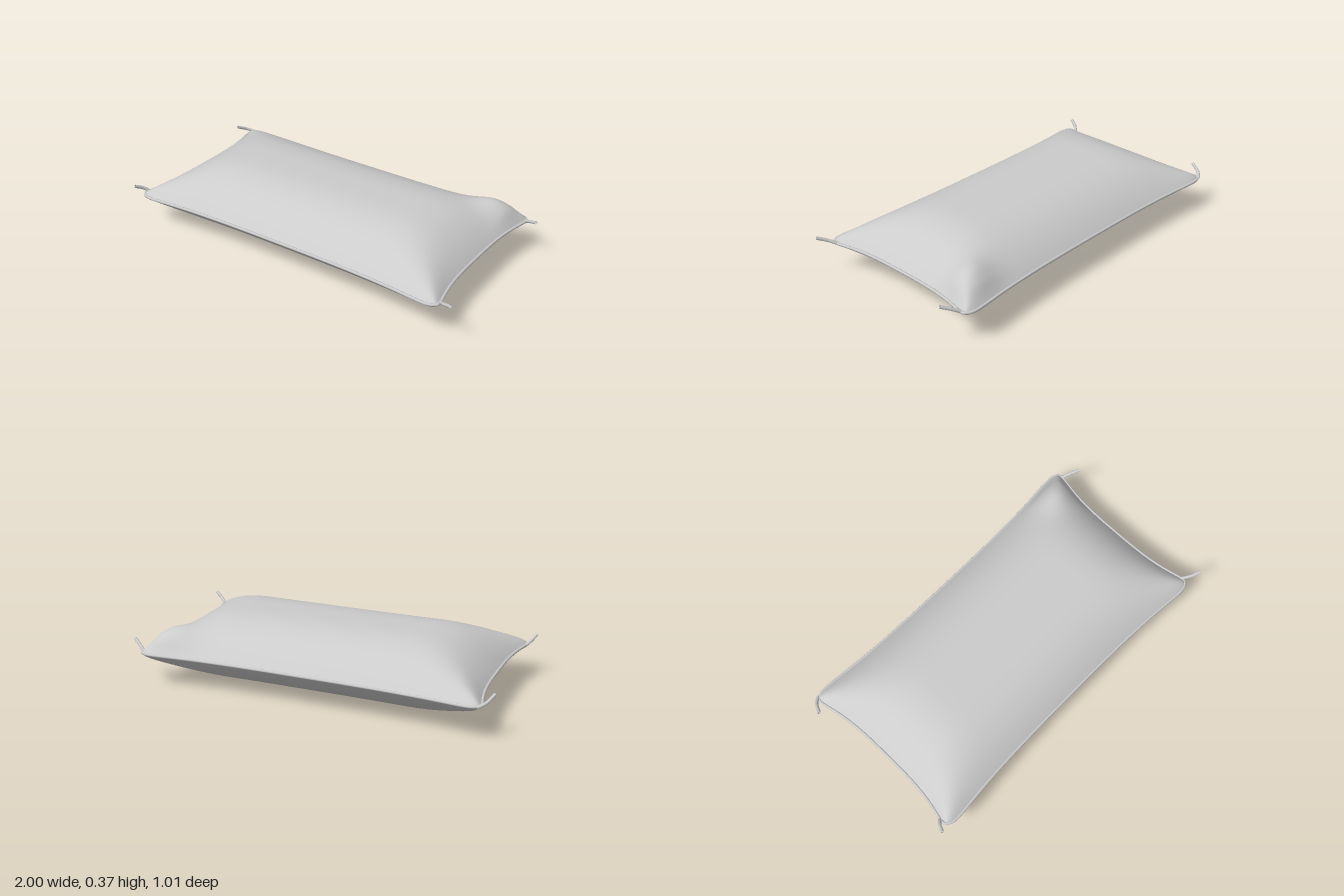
import * as THREE from 'three';

const SEAM_Y = 0.19;
const material = new THREE.MeshStandardMaterial({ color: 0xcccccc, side: THREE.DoubleSide });

// Plan outline: sides bow inwards, corners are rounded; u and v run from -1 to 1
function planPoint(u, v) {
  const a = Math.abs(u), b = Math.abs(v);
  const halfX = (u < 0 ? 0.897 : 0.87) + 0.07 * b ** 3;
  const halfZ = (v < 0 ? 0.463 : 0.457) + 0.05 * a ** 3;
  return [
    u * (halfX - 0.035 * b ** 14 * a ** 8),
    v * (halfZ - 0.035 * a ** 22 * b ** 8),
  ];
}

// Puffed cross-section, rising from the seam over a fixed distance
const rise = (d) => 1 - (1 - Math.min(d / 0.45, 1)) ** 2.8;

// Blend of both cross-sections, leaving soft ridges towards the corners
function fullness(u, v) {
  const fx = rise((1 - Math.abs(u)) * 0.9), fz = rise((1 - Math.abs(v)) * 0.46);
  if (fx < 1e-5 || fz < 1e-5) return 0;
  return 1 / Math.sqrt(fx ** -2 + fz ** -2 - 1);
}

// One face of the cushion: side is 1 for the top, -1 for the bottom
function makeFace(name, side, height) {
  const geometry = new THREE.PlaneGeometry(2, 2, 96, 64);
  geometry.rotateX(-side * Math.PI / 2);
  const pos = geometry.attributes.position;
  const spread = (t) => 0.4 * t + 0.6 * Math.sin(t * Math.PI / 2);
  for (let i = 0; i < pos.count; i++) {
    const u = spread(pos.getX(i)), v = spread(pos.getZ(i));
    const [x, z] = planPoint(u, v);
    const f = fullness(u, v);
    // One back corner is plumper on top
    const plump = side > 0 ? 0.045 * Math.exp(-(((x - 0.78) / 0.13) ** 2) - ((z + 0.38) / 0.1) ** 2) : 0;
    pos.setXYZ(i, x, SEAM_Y + side * (height * f + plump * Math.min(1, f * 4)), z);
  }
  geometry.computeVertexNormals();
  const mesh = new THREE.Mesh(geometry, material);
  mesh.name = name;
  return mesh;
}

function makeCord(name, points, radius, segments, closed) {
  const curve = new THREE.CatmullRomCurve3(points, closed);
  const mesh = new THREE.Mesh(new THREE.TubeGeometry(curve, segments, radius, 8, closed), material);
  mesh.name = name;
  return mesh;
}

export function createModel() {
  const group = new THREE.Group();
  group.name = 'cushion';
  group.add(makeFace('topFace', 1, 0.18), makeFace('bottomFace', -1, 0.188));

  // Piping around the seam
  const seam = [];
  const n = 40;
  for (let side = 0; side < 4; side++) {
    for (let i = 0; i < n; i++) {
      const t = Math.sin((-1 + (2 * i) / n) * Math.PI / 2);
      const [u, v] = [[t, 1], [1, -t], [-t, -1], [-1, t]][side];
      const [x, z] = planPoint(u, v);
      seam.push(new THREE.Vector3(x, SEAM_Y + 0.002, z));
    }
  }
  group.add(makeCord('seamPiping', seam, 0.008, 400, true));

  // Short curved cord ends at the corners
  const ties = {
    frontLeftTie: [[0.91, 0.192, 0.44], [0.95, 0.215, 0.475], [0.995, 0.236, 0.5]],
    backLeftTie: [[0.91, 0.192, -0.455], [0.95, 0.215, -0.43], [0.995, 0.236, -0.402]],
    backRightTie: [[-0.93, 0.192, -0.49], [-0.965, 0.21, -0.46], [-0.99, 0.236, -0.405]],
    frontRightTie: [[-0.94, 0.192, 0.43], [-0.962, 0.215, 0.455], [-0.98, 0.236, 0.495]],
  };
  for (const [name, points] of Object.entries(ties)) {
    group.add(makeCord(name, points.map((p) => new THREE.Vector3(...p)), 0.009, 12, false));
  }
  return group;
}
